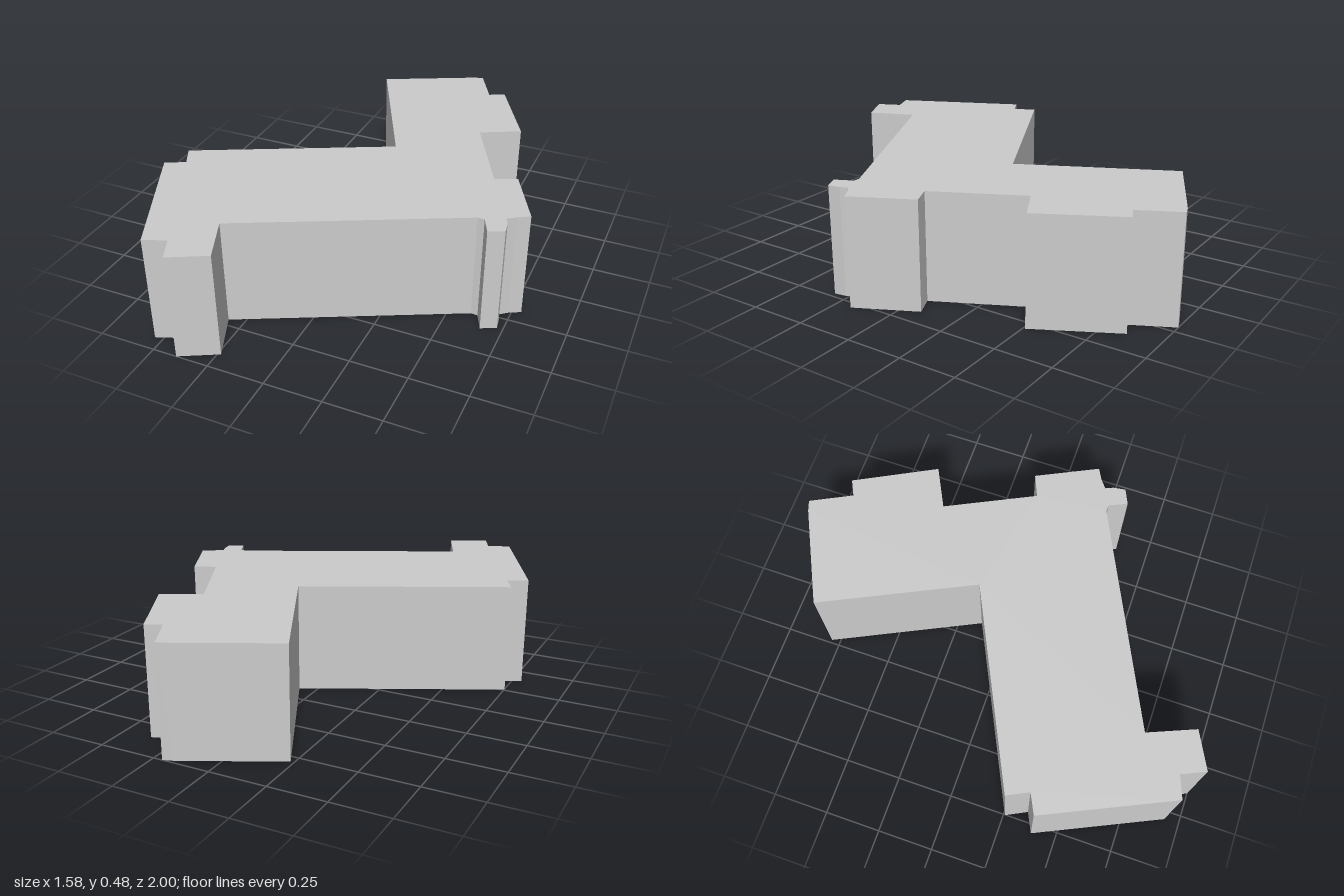
import * as THREE from 'three';

const HEIGHT = 0.48;

// Footprint corners as [x, z], walked around the walls
const backWing = [[0.3, -0.823], [0.21, -1], [0.165, -0.985], [-0.235, -0.79], [0.077, -0.145]];
const leftEnd = [
  [-0.752, 0.257], [-0.705, 0.35], [-0.79, 0.392], [-0.537, 0.934],
  [-0.44, 0.897], [-0.393, 1], [-0.235, 0.918], [-0.32, 0.715],
];
const porch = [
  [0.595, 0.27], [0.625, 0.272], [0.66, 0.35], [0.725, 0.32],
  [0.717, 0.267], [0.702, 0.233], [0.738, 0.204],
];
const rightBays = [
  [0.788, 0.177], [0.659, -0.085], [0.566, -0.045],
  [0.38, -0.423], [0.55, -0.51], [0.368, -0.857],
];

export function createModel() {
  const group = new THREE.Group();
  group.name = 'building';

  // L-shaped block with flat roof, raised straight up from its footprint
  const outline = [...backWing, ...leftEnd, ...porch, ...rightBays];
  const shape = new THREE.Shape(outline.map(([x, z]) => new THREE.Vector2(x, -z)));
  const geometry = new THREE.ExtrudeGeometry(shape, { depth: HEIGHT, bevelEnabled: false });
  geometry.rotateX(-Math.PI / 2);

  const block = new THREE.Mesh(
    geometry,
    new THREE.MeshStandardMaterial({ color: 0xcccccc, flatShading: true })
  );
  block.name = 'buildingBlock';
  group.add(block);
  return group;
}
